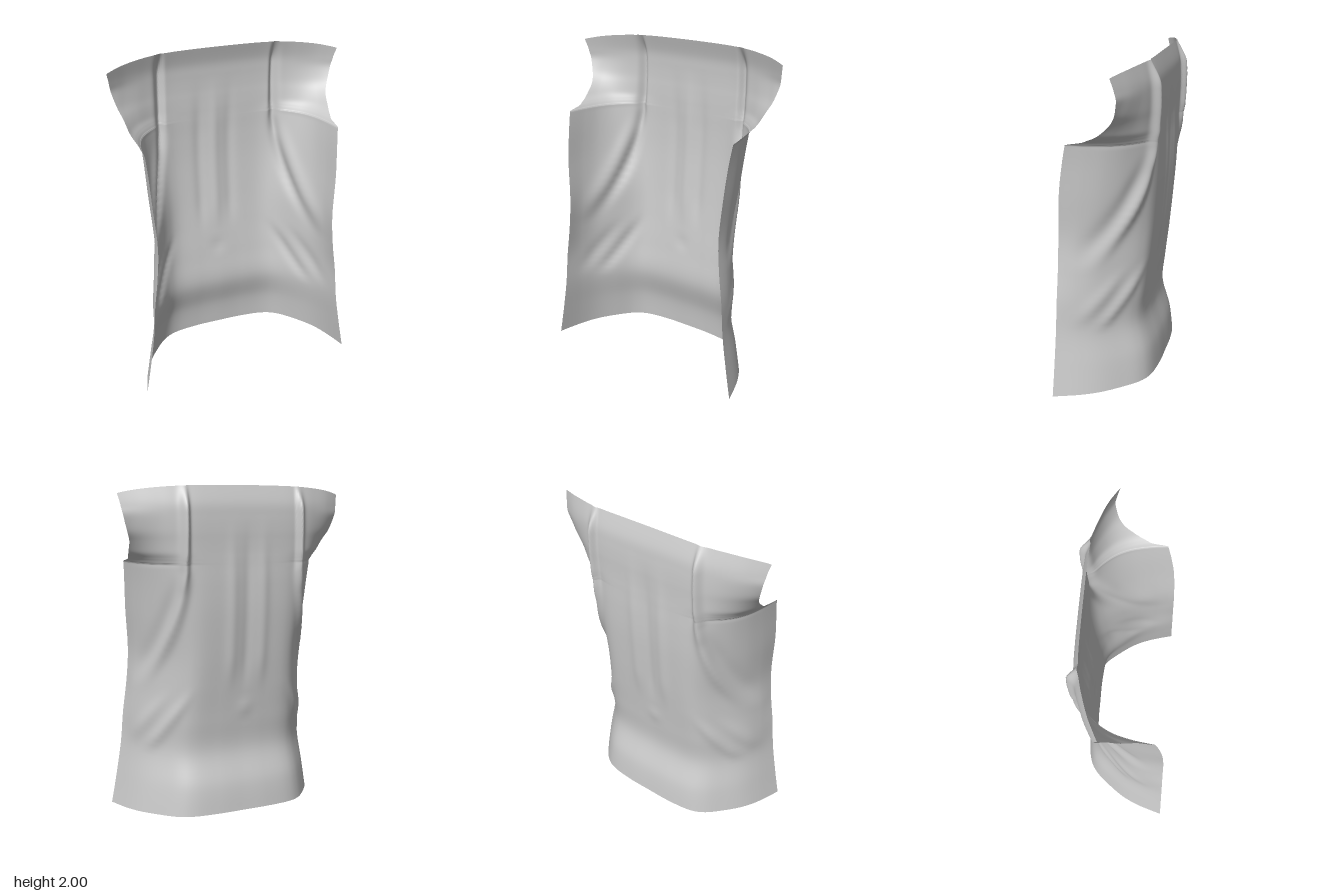
import * as THREE from 'three';

// Rows from hem to shoulder: centre y, drop at the edge, centre z, full half-width, full edge z,
// section (0 hem, 1 waist, 2 shoulder blade, 3 shoulder), share of the section kept beside the armhole
const ROWS = [
  [0.03, 0.027, -0.255, 0.685, 0.29, 0.4, 1],
  [0.2, 0.01, -0.235, 0.652, 0.285, 0.45, 1],
  [0.4, 0, -0.183, 0.62, 0.28, 0.5, 1],
  [0.6, 0, -0.195, 0.603, 0.275, 0.75, 1],
  [0.8, 0, -0.215, 0.578, 0.27, 1, 1],
  [1.0, 0, -0.235, 0.566, 0.265, 1.15, 1],
  [1.25, 0, -0.254, 0.582, 0.25, 1.5, 1],
  [1.42, 0, -0.26, 0.591, 0.226, 1.8, 1],
  [1.53, 0, -0.26, 0.599, 0.204, 2, 1],
  [1.55, 0, -0.26, 0.602, 0.199, 2, 1],
  [1.556, 0, -0.26, 0.606, 0.194, 2, 0.975],
  [1.57, 0, -0.26, 0.615, 0.181, 2.02, 0.91],
  [1.585, 0, -0.26, 0.628, 0.165, 2.06, 0.885],
  [1.62, 0, -0.26, 0.66, 0.12, 2.2, 0.835],
  [1.68, 0, -0.261, 0.69, 0.02, 2.55, 0.825],
  [1.74, 0, -0.262, 0.712, -0.055, 2.85, 0.86],
  [1.82, 0, -0.26, 0.705, -0.108, 3, 0.95],
  [1.9, 0.02, -0.253, 0.705, -0.109, 3, 1],
  [2.0, 0.05, -0.225, 0.72, -0.09, 3, 1],
];

// Half cross-sections from centre back to edge: fraction of width, fraction of depth
const SECTIONS = [
  [[0, 0], [0.22, 0.005], [0.44, 0.05], [0.58, 0.13], [0.7, 0.29], [0.81, 0.47], [0.9, 0.68], [1, 1]],
  [[0, 0], [0.25, 0], [0.5, 0.02], [0.65, 0.12], [0.8, 0.33], [0.92, 0.56], [0.98, 0.78], [1, 1]],
  [[0, 0], [0.25, 0], [0.5, 0.02], [0.68, 0.1], [0.83, 0.28], [0.92, 0.48], [0.97, 0.72], [1, 1]],
  [[0, 0], [0.25, 0.005], [0.45, 0.04], [0.6, 0.16], [0.73, 0.36], [0.84, 0.57], [0.93, 0.8], [1, 1]],
];

// Smooth interpolation through a list of number tuples, t in 0..1
function sample(list, t) {
  const f = Math.min(Math.max(t, 0), 1) * (list.length - 1);
  const i = Math.min(Math.floor(f), list.length - 2), k = f - i;
  const at = (n) => list[Math.min(Math.max(n, 0), list.length - 1)];
  return list[0].map((_, c) => {
    const [a, b, d, e] = [at(i - 1)[c], at(i)[c], at(i + 1)[c], at(i + 2)[c]];
    return b + 0.5 * k * (d - a + k * (2 * a - 5 * b + 4 * d - e + k * (3 * (b - d) + e - a)));
  });
}

const step = THREE.MathUtils.smoothstep;
const bump = (d, width) => Math.exp(-((d / width) ** 2));
const band = (y, a, b, c, d) => step(y, a, b) * (1 - step(y, c, d));

// Undisturbed cloth surface, s = 0 at centre back and 1 at the full edge
function basePoint(s, [yc, drop, zc, width, ze, section]) {
  const n = Math.min(Math.floor(section), 2);
  const a = sample(SECTIONS[n], s), b = sample(SECTIONS[n + 1], s);
  const fx = a[0] + (b[0] - a[0]) * (section - n), fz = a[1] + (b[1] - a[1]) * (section - n);
  return new THREE.Vector3(width * fx, yc - drop * s * s, zc + (ze - zc) * fz);
}

// Outward height of the pleats and drape folds
function folds(x, y, side) {
  const lower = Math.max(0, 1.5 - y);
  const path = 0.362 + 0.1 * lower + 0.21 * lower * lower;
  // Pleat, steeper toward the centre, running out into a long diagonal drape
  const d = x - path;
  let h = 0.04 * band(y, 1.35, 1.6, 1.85, 2.05) * bump(d, d < 0 ? 0.014 : 0.032);
  h += 0.024 * band(y, 0.75, 1.15, 1.4, 1.58) * bump(d, 0.026);
  h -= 0.012 * band(y, 0.7, 1.0, 1.25, 1.5) * bump(d - 0.055, 0.03);
  // Short diagonal folds above the hip
  for (const [x0, size] of [[0.35, 0.014], [0.45, 0.01]]) {
    h += size * band(y, 0.38, 0.5, 0.62, 0.82) * bump(x - x0 - (0.75 - y) * 0.5, 0.032);
  }
  // Soft vertical folds down the middle
  const sx = x * side;
  h += 0.009 * band(y, 0.75, 1.0, 1.4, 1.85) * (bump(sx - 0.08, 0.035) + bump(sx + 0.12, 0.035) - bump(sx + 0.02, 0.035));
  h += 0.006 * band(y, 0.6, 0.66, 0.67, 0.74) * bump(sx + 0.02, 0.05);
  return h;
}

function createBackPanel() {
  const cols = 200, rows = (ROWS.length - 1) * 6;
  const positions = [], index = [];
  for (let j = 0; j <= rows; j++) {
    const row = sample(ROWS, j / rows);
    const kept = Math.min(row[6], 1);
    for (let i = 0; i <= cols; i++) {
      const u = (i / cols) * 2 - 1, s = Math.abs(u) * kept, side = u < 0 ? -1 : 1;
      const p = basePoint(s, row);
      const t = basePoint(Math.min(s + 0.01, 1), row).sub(basePoint(Math.max(s - 0.01, 0), row));
      const normal = new THREE.Vector3(t.z, 0, -t.x).normalize();
      p.addScaledVector(normal, folds(p.x, p.y, side) * (1 - step(s, 0.72, 0.95)));
      const shift = -0.006 * (1 - step(p.y, 1.2, 1.9));
      positions.push(p.x * side + shift, p.y, p.z);
      if (i < cols && j < rows) {
        const a = j * (cols + 1) + i, b = a + cols + 1;
        index.push(a, b, a + 1, a + 1, b, b + 1);
      }
    }
  }
  const geometry = new THREE.BufferGeometry();
  geometry.setAttribute('position', new THREE.Float32BufferAttribute(positions, 3));
  geometry.setIndex(index);
  geometry.computeVertexNormals();
  const mesh = new THREE.Mesh(geometry, new THREE.MeshStandardMaterial({ color: 0xcccccc, side: THREE.DoubleSide }));
  mesh.name = 'garmentBackPanel';
  return mesh;
}

export function createModel() {
  const group = new THREE.Group();
  group.name = 'garmentBack';
  group.add(createBackPanel());
  return group;
}
